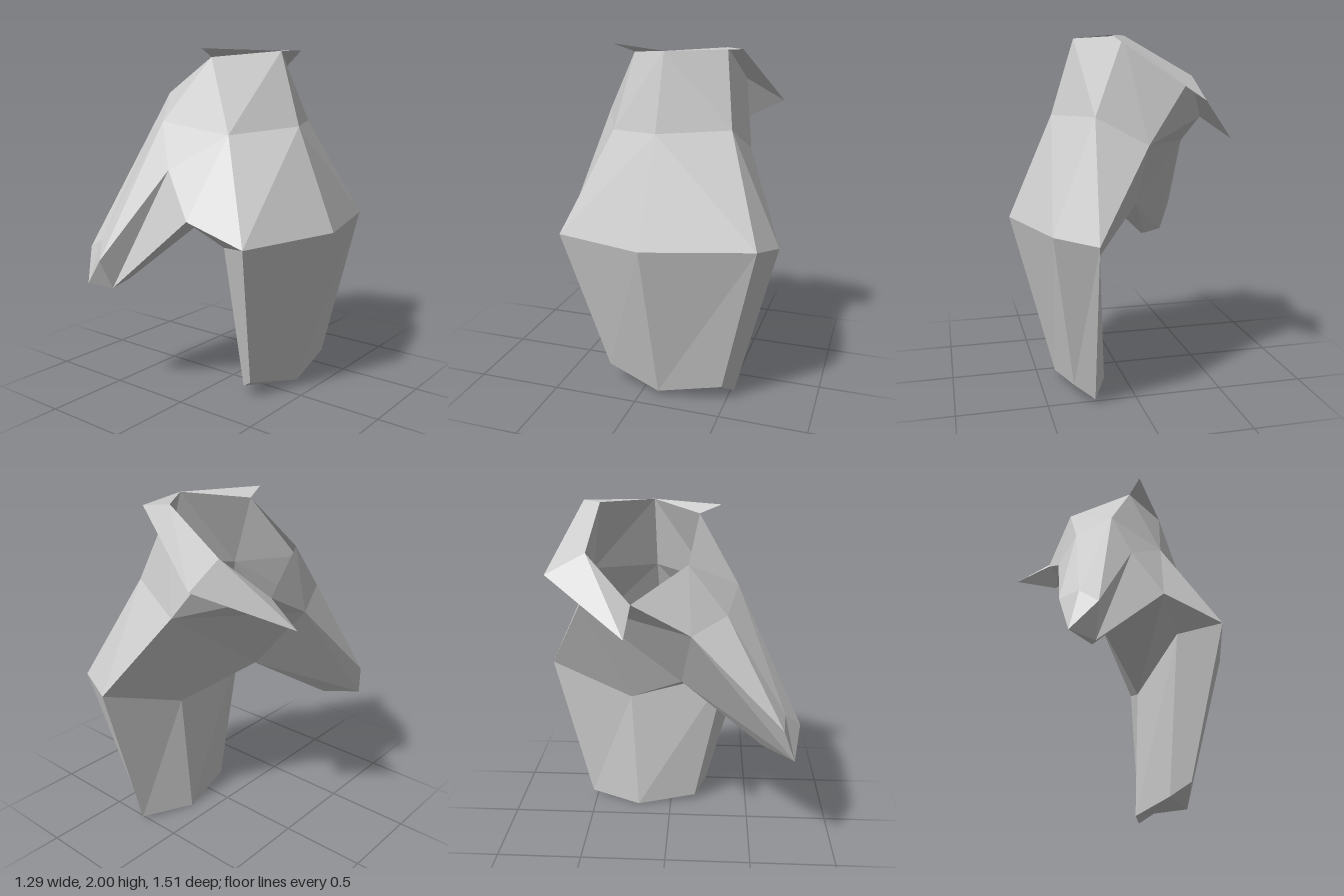
import * as THREE from 'three';

const v = (x, y, z) => new THREE.Vector3(x, y, z);

// Shared corners of the folded shell
const neck = {
  right: v(0.265, 1.99, -0.1), front: v(-0.025, 1.955, 0.17), left: v(-0.39, 1.75, 0.12),
  side: v(-0.46, 1.55, -0.18), backLeft: v(-0.32, 1.79, -0.43), back: v(0.05, 2.0, -0.395),
};
const chest = {
  mid: v(0.15, 1.53, 0.24), left: v(-0.2, 1.6, 0.39), low: v(-0.1, 1.34, 0.46), hem: v(0.07, 1.075, 0.51),
};
const shoulder = v(0.395, 1.57, -0.095);
const blade = v(0.22, 1.58, -0.47);
const spine = v(-0.06, 1.43, -0.52);
const armpit = v(-0.15, 1.0, 0.08);
const sleeveBack = v(-0.455, 1.38, 0.14);
const sleeveTop = v(-0.395, 1.48, 0.33);

// Side panel: upper ring and hem ring
const panelTop = {
  innerFront: v(0.2, 0.92, 0.345), innerMid: v(0.15, 0.77, -0.25), innerBack: v(0.26, 0.955, -0.76),
  back: v(0.485, 1.0, -0.68), side: v(0.645, 0.99, -0.08), front: v(0.425, 0.96, 0.475),
};
const panelHem = [
  v(0.2, 0.04, 0.16), v(0.12, 0.005, -0.21), v(0.24, 0.03, -0.53),
  v(0.35, 0.105, -0.48), v(0.4, 0.04, -0.11), v(0.3, 0.11, 0.23),
];

// Sleeve: shoulder ring and cuff ring
const sleeveRing = [chest.left, chest.low, chest.hem, armpit, sleeveBack, sleeveTop];
const cuffRing = [
  v(-0.44, 0.935, 0.66), v(-0.36, 0.84, 0.755), v(-0.35, 0.665, 0.67),
  v(-0.34, 0.695, 0.55), v(-0.5, 0.68, 0.72), v(-0.54, 0.88, 0.65),
];

const material = new THREE.MeshStandardMaterial({
  color: 0xcccccc, flatShading: true, side: THREE.DoubleSide,
});

// Mesh from polygons, each split as a fan and turned away from an inner point
function patch(name, polygons, inside) {
  const points = [];
  for (const poly of polygons) {
    for (let i = 1; i < poly.length - 1; i++) {
      const tri = new THREE.Triangle(poly[0], poly[i], poly[i + 1]);
      const normal = tri.getNormal(v(0, 0, 0));
      const outward = tri.getMidpoint(v(0, 0, 0)).sub(inside).dot(normal) >= 0;
      points.push(tri.a, ...(outward ? [tri.b, tri.c] : [tri.c, tri.b]));
    }
  }
  const geometry = new THREE.BufferGeometry().setFromPoints(points);
  geometry.computeVertexNormals();
  const mesh = new THREE.Mesh(geometry, material);
  mesh.name = name;
  return mesh;
}

// Quads between two closed rings
const loft = (a, b) => a.map((p, i) => {
  const j = (i + 1) % a.length;
  return [p, a[j], b[j], b[i]];
});

export function createModel() {
  const group = new THREE.Group();
  group.name = 'foldedShell';
  const core = v(0, 1.3, -0.05);
  const top = panelTop;

  // Front of the body, from neck to lower edge
  group.add(patch('bodyFront', [
    [neck.right, neck.front, chest.mid],
    [neck.right, chest.mid, shoulder],
    [shoulder, chest.mid, top.front],
    [shoulder, top.front, top.side],
    [chest.mid, chest.hem, top.front],
    [chest.mid, neck.front, chest.left],
    [chest.mid, chest.left, chest.low],
    [chest.mid, chest.low, chest.hem],
    [neck.front, neck.left, chest.left],
    [neck.left, sleeveTop, chest.left],
    [neck.left, sleeveBack, sleeveTop],
    [neck.left, neck.side, sleeveBack],
  ], core));

  // Back of the body
  group.add(patch('bodyBack', [
    [neck.right, neck.back, blade],
    [neck.right, blade, shoulder],
    [shoulder, blade, top.back],
    [shoulder, top.back, top.side],
    [blade, top.innerBack, top.back],
    [blade, spine, top.innerBack],
    [neck.back, spine, blade],
    [neck.back, neck.backLeft, spine],
    [neck.backLeft, neck.side, spine],
    [spine, neck.side, sleeveBack, armpit],
    [spine, top.innerMid, top.innerBack],
    [spine, armpit, top.innerMid],
  ], core));

  // Underside between sleeve and side panel
  group.add(patch('bodyUnderside', [
    [chest.hem, top.front, top.innerFront],
    [chest.hem, top.innerFront, top.innerMid, armpit],
  ], core));

  // Hanging side panel, closed at the hem
  group.add(patch('sidePanel', loft(Object.values(top), panelHem), v(0.33, 0.5, -0.15)));
  const hem = panelHem;
  group.add(patch('sidePanelHem', [
    [hem[0], hem[1], hem[4], hem[5]], [hem[1], hem[2], hem[3], hem[4]],
  ], v(0.3, 0.5, -0.15)));

  // Tapered sleeve reaching forward, with a closed cuff
  const sleeveCore = v(-0.33, 1.02, 0.48);
  group.add(patch('sleeve', loft(sleeveRing, cuffRing), sleeveCore));
  const c = cuffRing;
  group.add(patch('sleeveCuff', [[c[4], c[5], c[0], c[1], c[2], c[3]]], sleeveCore));

  // Turned-out collar flaps around the neck opening
  const backTip = v(0.14, 2.0, -0.5);
  const backCorner = v(-0.325, 1.67, -0.655);
  const sideTip = v(-0.65, 1.42, -0.2);
  const frontTip = v(0.005, 2.0, 0.29);
  group.add(patch('collar', [
    [neck.right, frontTip, neck.front],
    [neck.right, backTip, neck.back],
    [neck.back, backTip, backCorner, neck.backLeft],
    [neck.backLeft, backCorner, sideTip, neck.side],
  ], v(0, 1, 0)));

  return group;
}
